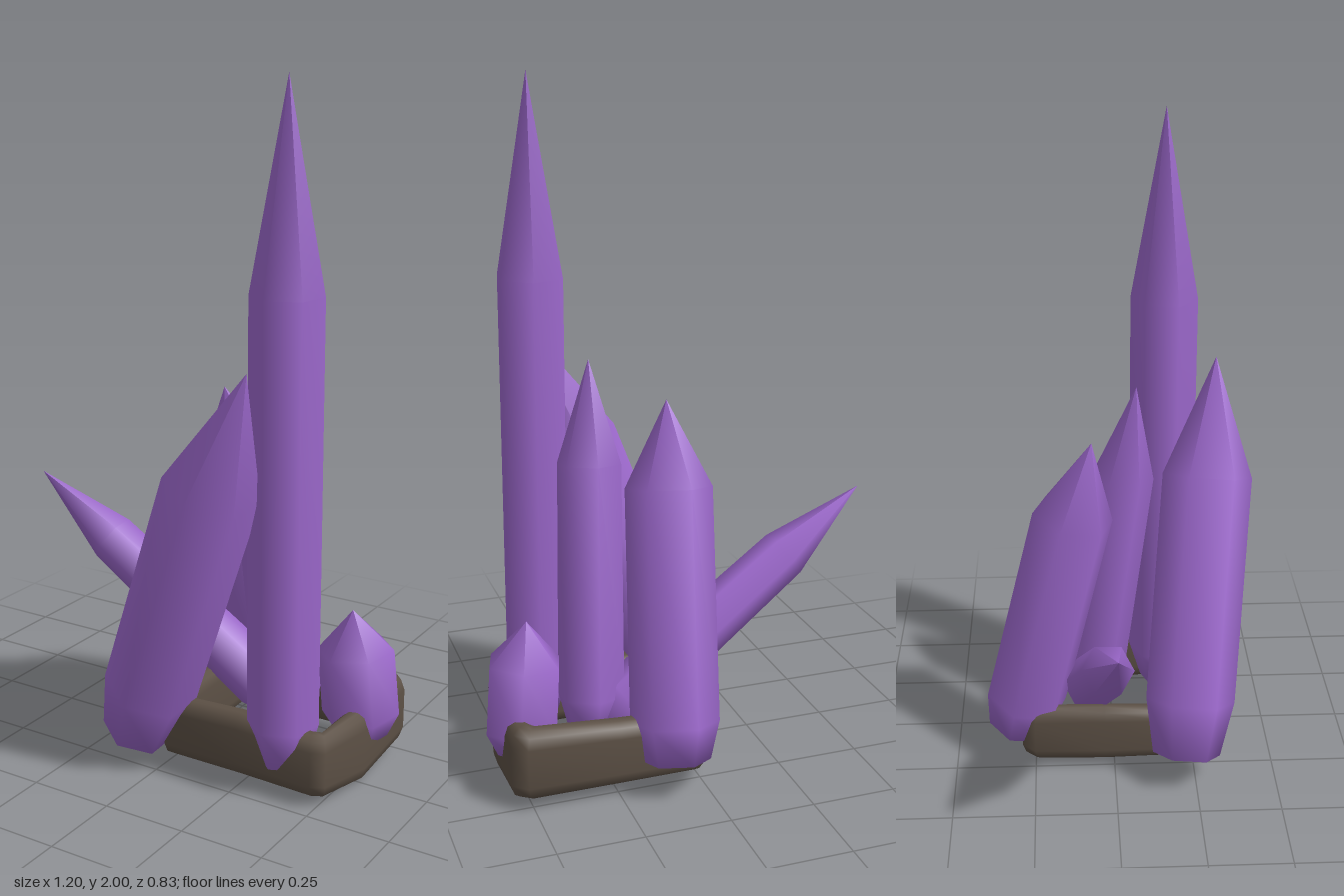
import * as THREE from 'three';

const crystalMat = new THREE.MeshStandardMaterial({ color: 0x9c68cc });
crystalMat.name = 'amethyst purple';
const stoneMat = new THREE.MeshStandardMaterial({ color: 0x5c5045 });
stoneMat.name = 'dark stone';

// Six-sided crystal from base to tip. low and high are the widest rings, as distances along the axis.
function crystal(name, { base, tip, foot, low, rLow, high, rHigh, twist = 0 }) {
  const a = new THREE.Vector3(...base);
  const axis = new THREE.Vector3(...tip).sub(a);
  const len = axis.length();
  const profile = [[0, 0], [foot, 0], [rLow, low], [rHigh, high], [0, len]];
  const geo = new THREE.LatheGeometry(profile.map(p => new THREE.Vector2(...p)), 6);
  geo.rotateY(THREE.MathUtils.degToRad(twist));
  const mesh = new THREE.Mesh(geo, crystalMat);
  mesh.name = name;
  mesh.position.copy(a);
  mesh.quaternion.setFromUnitVectors(new THREE.Vector3(0, 1, 0), axis.normalize());
  return mesh;
}

// Rounded tall bar swept around a four-sided loop.
function stoneRing() {
  // outer x, outer z, inner x, inner z, bottom, top
  const stations = [
    [0.01, 0.22, 0.04, 0.14, 0.035, 0.215],
    [0.25, 0.22, 0.25, 0.14, 0.035, 0.225],
    [0.49, 0.22, 0.465, 0.14, 0.03, 0.215],
    [0.525, 0.19, 0.475, 0.13, 0.025, 0.21],
    [0.555, 0.0, 0.475, -0.02, 0.0, 0.215],
    [0.56, -0.25, 0.48, -0.2, 0.03, 0.245],
    [0.52, -0.292, 0.47, -0.21, 0.035, 0.245],
    [0.25, -0.292, 0.25, -0.21, 0.035, 0.23],
    [0.01, -0.29, 0.04, -0.21, 0.035, 0.22],
    [-0.027, -0.25, 0.04, -0.2, 0.035, 0.22],
    [-0.027, -0.03, 0.04, -0.03, 0.03, 0.22],
    [-0.027, 0.18, 0.04, 0.13, 0.035, 0.215],
  ];
  // fractions across (0 outer, 1 inner) and up
  const section = [[0, 0.22], [0, 0.78], [0.12, 0.93], [0.35, 1], [0.65, 1], [0.88, 0.93],
    [1, 0.78], [1, 0.22], [0.88, 0.07], [0.65, 0], [0.35, 0], [0.12, 0.07]];
  const n = stations.length, m = section.length;
  const pos = [], idx = [];
  stations.forEach(([ox, oz, ix, iz, y0, y1], i) => section.forEach(([u, v], j) => {
    pos.push(ox + (ix - ox) * u, y0 + (y1 - y0) * v, oz + (iz - oz) * u);
    const i2 = (i + 1) % n, j2 = (j + 1) % m;
    const a = i * m + j, b = i2 * m + j, c = i2 * m + j2, d = i * m + j2;
    idx.push(a, b, d, b, c, d);
  }));
  const geo = new THREE.BufferGeometry();
  geo.setAttribute('position', new THREE.Float32BufferAttribute(pos, 3));
  geo.setIndex(idx);
  geo.computeVertexNormals();
  const mesh = new THREE.Mesh(geo, stoneMat);
  mesh.name = 'stoneRing';
  return mesh;
}

export function createModel() {
  const group = new THREE.Group();
  group.name = 'crystalCluster';
  group.add(
    stoneRing(),
    crystal('tallCrystal', { base: [0.375, 0.095, 0.165], tip: [0.363, 2, 0.165],
      foot: 0.065, low: 0.12, rLow: 0.102, high: 1.335, rHigh: 0.102, twist: -8 }),
    crystal('smallCrystal', { base: [0.495, 0.1, -0.1], tip: [0.465, 0.49, -0.08],
      foot: 0.075, low: 0.07, rLow: 0.115, high: 0.27, rHigh: 0.113, twist: -15 }),
    crystal('frontCrystal', { base: [-0.085, 0.095, 0.22], tip: [0.34, 1.25, 0.325],
      foot: 0.105, low: 0.17, rLow: 0.138, high: 0.87, rHigh: 0.138 }),
    crystal('leaningCrystal', { base: [0.25, 0.14, -0.08], tip: [-0.6, 0.755, -0.012],
      foot: 0.055, low: 0.1, rLow: 0.088, high: 0.74, rHigh: 0.076 }),
    crystal('backCrystal', { base: [0.092, 0.1, -0.3], tip: [0.038, 1.1, -0.065],
      foot: 0.1, low: 0.11, rLow: 0.128, high: 0.78, rHigh: 0.125, twist: 12 }),
    crystal('middleCrystal', { base: [0.275, 0.1, -0.07], tip: [0.225, 1.2, 0.075],
      foot: 0.065, low: 0.12, rLow: 0.1, high: 0.81, rHigh: 0.095 }),
  );
  return group;
}
